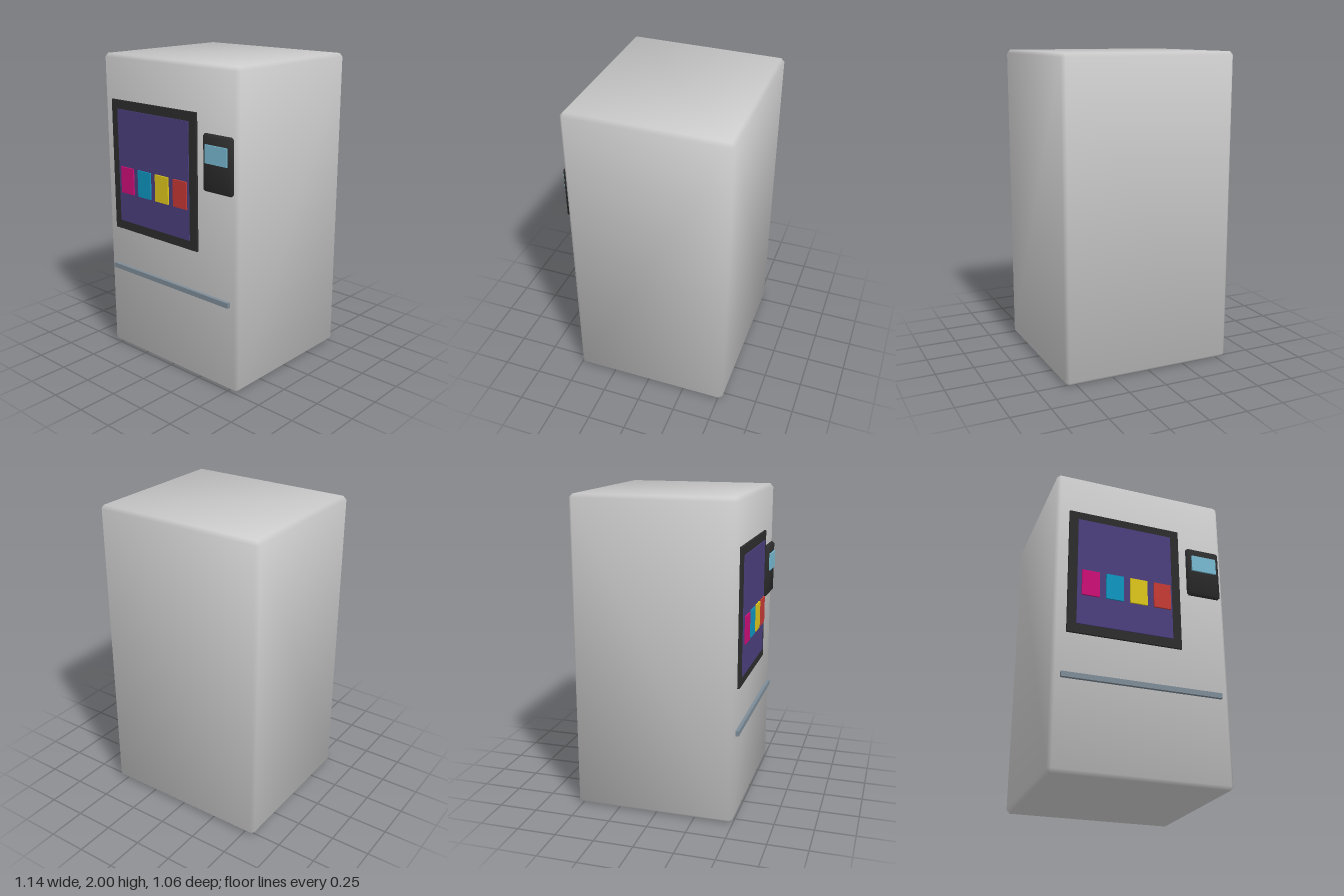
import * as THREE from 'three';
import { ConvexGeometry } from 'three/addons/geometries/ConvexGeometry.js';

// Box with a single-step bevel on every edge and softly blended normals
function bevelBox(w, h, d, bevel) {
  const half = [w / 2, h / 2, d / 2];
  const points = [];
  for (const sx of [-1, 1]) for (const sy of [-1, 1]) for (const sz of [-1, 1]) {
    const sign = [sx, sy, sz];
    for (let k = 0; k < 3; k++) {
      points.push(new THREE.Vector3(...sign.map((s, i) => s * (half[i] - (i === k ? 0 : bevel)))));
    }
  }
  const geometry = new ConvexGeometry(points);
  const pos = geometry.attributes.position;
  const normal = geometry.attributes.normal;
  const n = new THREE.Vector3();
  for (let i = 0; i < pos.count; i++) {
    const p = [pos.getX(i), pos.getY(i), pos.getZ(i)];
    n.set(...p.map((v, a) => Math.sign(v) * (half[a] - Math.abs(v) < bevel / 2 ? 1 : 0.39))).normalize();
    normal.setXYZ(i, n.x, n.y, n.z);
  }
  return geometry;
}

export function createModel() {
  const model = new THREE.Group();
  model.name = 'vendingMachine';

  // Adds a block given by its limits on each axis
  function block(name, color, [x0, x1], [y0, y1], [z0, z1], bevel = 0) {
    const size = [x1 - x0, y1 - y0, z1 - z0];
    const geometry = bevel ? bevelBox(...size, bevel) : new THREE.BoxGeometry(...size);
    const mesh = new THREE.Mesh(geometry, new THREE.MeshStandardMaterial({ color }));
    mesh.name = name;
    mesh.position.set((x0 + x1) / 2, (y0 + y1) / 2, (z0 + z1) / 2);
    model.add(mesh);
  }

  // Cabinet
  block('cabinet', 0xcccccc, [-0.57, 0.57], [0, 2], [-0.53, 0.497], 0.022);

  // Display window and its frame
  block('windowFrame', 0x2d2d2d, [-0.487, 0.256], [0.86, 1.717], [0.47, 0.511]);
  block('windowPanel', 0x4c3f7d, [-0.43, 0.197], [0.92, 1.66], [0.48, 0.517]);

  // Row of products in the window
  [0xcd0e77, 0x0f96c1, 0xdfc71b, 0xc73a34].forEach((color, i) => {
    const x = -0.345 + i * 0.1575;
    block('product' + (i + 1), color, [x - 0.057, x + 0.057], [1.117, 1.29], [0.49, 0.527]);
  });

  // Payment terminal with its small screen
  block('paymentTerminal', 0x2d2d2d, [0.312, 0.541], [1.26, 1.606], [0.45, 0.52], 0.013);
  block('terminalScreen', 0x77bad2, [0.343, 0.513], [1.435, 1.546], [0.49, 0.53]);

  // Bar across the lower door
  block('doorBar', 0x7d8c98, [-0.515, 0.513], [0.564, 0.597], [0.47, 0.518]);

  return model;
}
